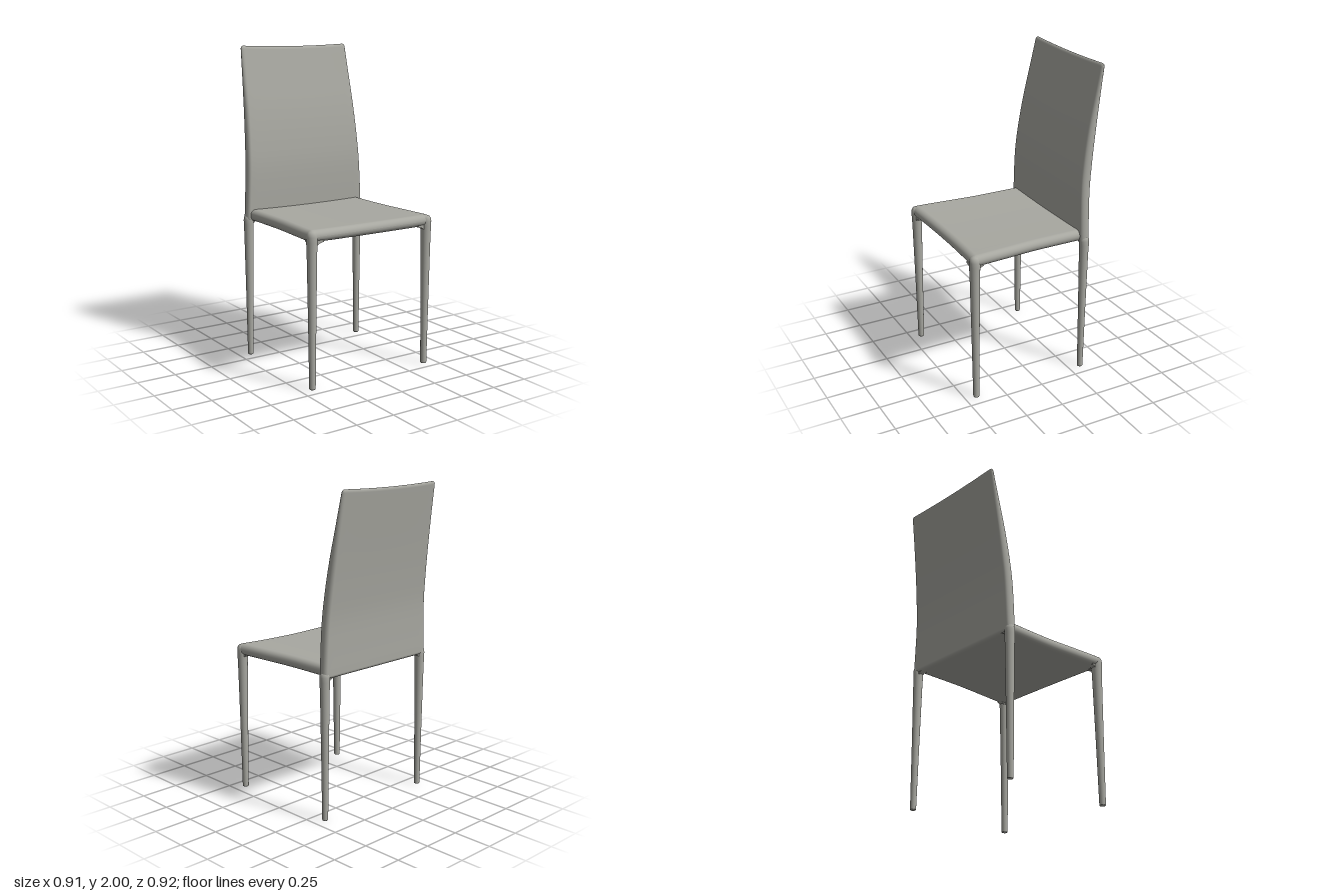
import * as THREE from 'three';

// Closed ring of [u, v]: a wide slab section with rounded side edges.
function ring(w, lo, hi, r) {
  const pts = [], mid = (lo + hi) / 2, h = (hi - lo) / 2, n = 18, arc = 10;
  for (let i = 0; i < n; i++) pts.push([-(w - r) + 2 * (w - r) * i / n, lo]);
  for (let i = 0; i < arc; i++) {
    const a = -Math.PI / 2 + Math.PI * i / arc;
    pts.push([w - r + r * Math.cos(a), mid + h * Math.sin(a)]);
  }
  for (let i = 0; i < n; i++) pts.push([(w - r) - 2 * (w - r) * i / n, hi]);
  for (let i = 0; i < arc; i++) {
    const a = Math.PI / 2 + Math.PI * i / arc;
    pts.push([-(w - r) + r * Math.cos(a), mid + h * Math.sin(a)]);
  }
  return pts;
}

// Skin over sections [t, halfWidth, lo, hi]; place(u, v, t) gives x, y, z.
function slab(sections, r, place) {
  const pos = [], index = [];
  let n = 0;
  sections.forEach(([t, w, lo, hi], s) => {
    const pts = ring(w, lo, hi, r);
    n = pts.length;
    pts.forEach(([u, v]) => pos.push(...place(u, v, t)));
    if (s === 0) return;
    for (let j = 0; j < n; j++) {
      const a = (s - 1) * n + j, b = (s - 1) * n + (j + 1) % n;
      index.push(a, b, a + n, b, b + n, a + n);
    }
  });
  const g = new THREE.BufferGeometry();
  g.setAttribute('position', new THREE.Float32BufferAttribute(pos, 3));
  g.setIndex(index);
  g.computeVertexNormals();
  return g;
}

// Smooth interpolation through a few [t, value] points.
function curve(points) {
  const c = new THREE.SplineCurve(points.map(p => new THREE.Vector2(...p)));
  const samples = c.getPoints(200);
  return t => {
    let i = 1;
    while (i < samples.length - 1 && samples[i].x < t) i++;
    const a = samples[i - 1], b = samples[i];
    return THREE.MathUtils.lerp(a.y, b.y, THREE.MathUtils.clamp((t - a.x) / (b.x - a.x), 0, 1));
  };
}

export function createModel() {
  const model = new THREE.Group();
  model.name = 'diningChair';
  const leather = new THREE.MeshStandardMaterial({ color: 0xa8a8a1 });
  leather.name = 'warm grey leather';
  const add = (name, geometry) => {
    const m = new THREE.Mesh(geometry, leather);
    m.name = name;
    model.add(m);
    return m;
  };

  // Seat: widens to the front, sags in the middle, hollow rounded front edge
  const seatW = curve([[-0.33, 0.423], [0, 0.424], [0.2, 0.437], [0.38, 0.449], [0.46, 0.452]]);
  const seat = [];
  for (let i = 0; i <= 14; i++) {
    const t = -0.33 + 0.745 * i / 14;
    seat.push([t, seatW(t), 0.897, 0.971]);
  }
  for (let i = 1; i <= 10; i++) {
    const a = Math.PI / 2 * i / 10, c = Math.cos(a), t = 0.415 + 0.04 * Math.sin(a);
    seat.push([t, seatW(t) - 0.025 * (1 - c), 0.934 - 0.037 * c, 0.934 + 0.037 * c]);
  }
  add('seat', slab(seat, 0.037, (x, y, z) => {
    const k = 1 - Math.min(1, (x / 0.44) ** 2);
    const f = THREE.MathUtils.smoothstep(z, 0.1, 0.45);
    return [x, y - 0.007 * k, z - 0.018 * k * f];
  }));

  // Backrest: leans back in a curve, tapers and thins toward the top
  const front = curve([[0.87, 0.3], [1.2, 0.301], [1.4, 0.319], [1.6, 0.351], [1.8, 0.394], [2, 0.438]]);
  const rear = curve([[0.87, 0.36], [1.2, 0.364], [1.4, 0.381], [1.6, 0.405], [1.8, 0.432], [2, 0.46]]);
  const back = [];
  const backSection = (y, c, inset) => {
    const m = (front(y) + rear(y)) / 2, h = (rear(y) - front(y)) / 2 * c;
    const w = 0.446 - 0.052 * (y - 0.9) / 1.1 - inset;
    back.push([y, w, m - h, m + h]);
  };
  for (let i = 0; i <= 6; i++) {
    const a = Math.PI / 2 * i / 6;
    backSection(0.91 - 0.022 * Math.cos(a), Math.sin(a), 0.012 * (1 - Math.sin(a)));
  }
  for (let i = 1; i <= 24; i++) backSection(0.91 + 1.07 * i / 24, 1, 0);
  for (let i = 1; i <= 8; i++) {
    const a = Math.PI / 2 * i / 8;
    backSection(1.98 + 0.02 * Math.sin(a), Math.cos(a), 0.018 * (1 - Math.cos(a)));
  }
  add('backrest', slab(back, 0.022, (x, v, y) => {
    const k = 1 - Math.min(1, (x / 0.4) ** 2);
    return [x, y - 0.01 * k * THREE.MathUtils.smoothstep(y, 1.5, 2), -v];
  }));

  // Legs: tapered tubes with a rounded top
  const legProfile = [[0, 0], [0.017, 0], [0.0195, 0.004], [0.025, 0.45], [0.031, 0.84], [0.0335, 0.9],
    [0.034, 0.93], [0.031, 0.948], [0.022, 0.96], [0.01, 0.966], [0, 0.967]]
    .map(p => new THREE.Vector2(...p));
  const legGeometry = new THREE.LatheGeometry(legProfile, 28);

  // Small curved fillet between leg and seat
  const shape = new THREE.Shape();
  shape.moveTo(-0.012, -0.035);
  shape.quadraticCurveTo(0.003, 0, 0.045, 0.002);
  shape.lineTo(0.045, 0.015);
  shape.lineTo(-0.012, 0.015);
  shape.closePath();
  const fillet = new THREE.ExtrudeGeometry(shape, { depth: 0.036, bevelEnabled: false, curveSegments: 8 });
  fillet.translate(0, 0, -0.018);

  for (const [side, sx] of [['left', 1], ['right', -1]]) {
    for (const [end, z] of [['Front', 0.425], ['Back', -0.332]]) {
      const leg = add(side + end + 'Leg', legGeometry);
      leg.position.set(sx * 0.421, 0, z);
      if (end === 'Back') leg.scale.set(0.93, 0.97, 0.93);
      const across = add(side + end + 'CrossFillet', fillet);
      across.position.set(sx * 0.395, 0.894, z);
      across.rotation.y = sx > 0 ? Math.PI : 0;
    }
    const along = add(side + 'SideFillet', fillet);
    along.position.set(sx * 0.418, 0.896, 0.4);
    along.rotation.y = Math.PI / 2;
    along.scale.x = 0.6;
  }
  return model;
}
